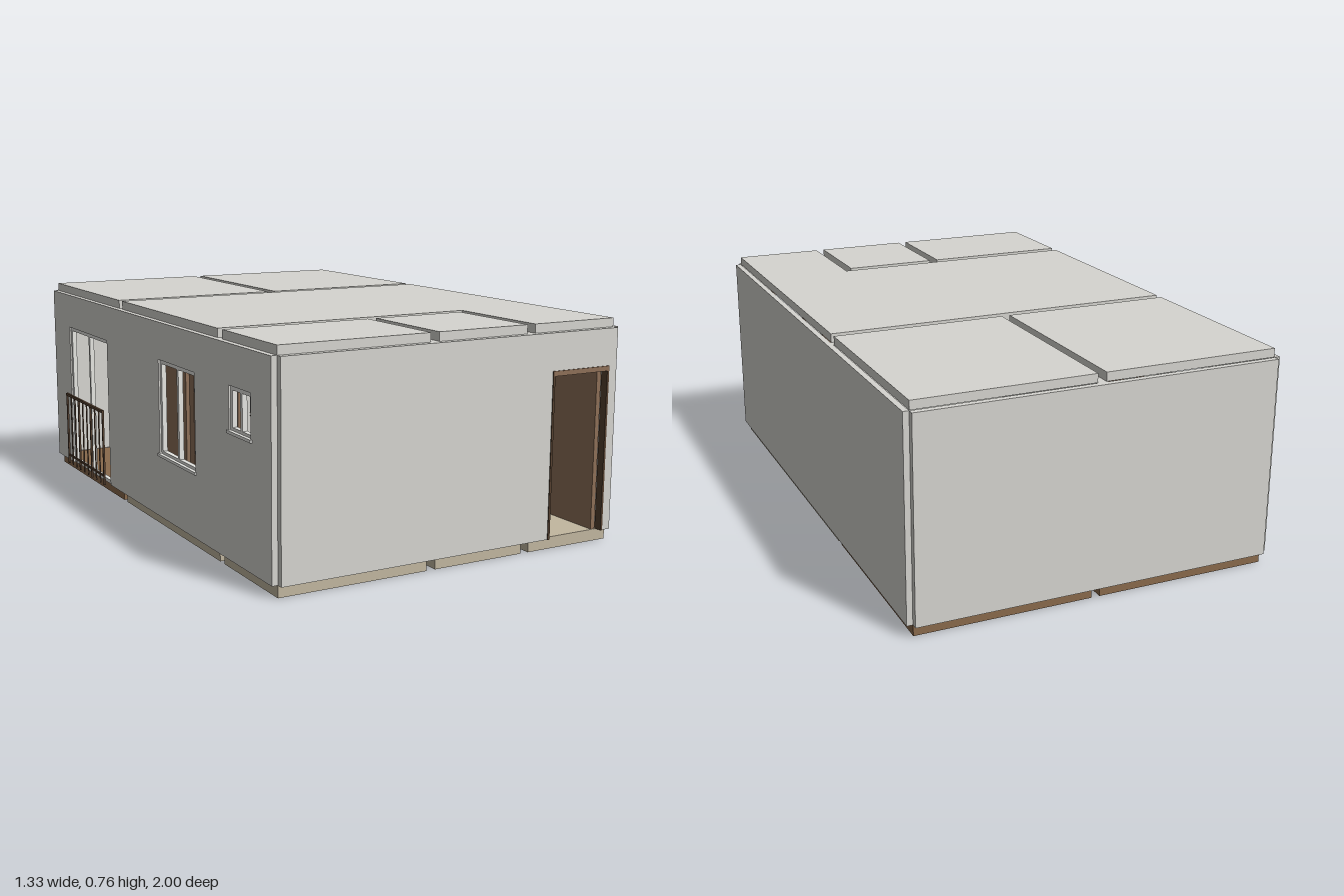
import * as THREE from 'three';

const mat = (name, color) => {
  const m = new THREE.MeshStandardMaterial({ color });
  m.name = name;
  return m;
};

export function createModel() {
  const house = new THREE.Group();
  house.name = 'apartment';
  const plaster = mat('plaster', 0xd6d5d0);
  const tile = mat('beige tile', 0xc2b7a0);
  const parquet = mat('parquet', 0x8a6a4c);
  const wood = mat('cabinet wood', 0x8e7058);
  const dark = mat('dark brown', 0x55402f);
  const white = mat('white frame', 0xe6e6e2);

  const Y0 = 0.04, Y1 = 0.73, TOP = 0.6;

  // Box given by its lower and upper corners
  const box = (name, m, x0, x1, y0, y1, z0, z1, parent = house) => {
    const b = new THREE.Mesh(new THREE.BoxGeometry(x1 - x0, y1 - y0, z1 - z0), m);
    b.position.set((x0 + x1) / 2, (y0 + y1) / 2, (z0 + z1) / 2);
    b.name = name;
    parent.add(b);
    return b;
  };

  // Wall panel with openings [from, to, bottom, top]; those on the floor become notches
  const wall = (name, along, a, b, c0, c1, openings = []) => {
    const s = new THREE.Shape();
    s.moveTo(a, Y0);
    openings.filter(o => o[2] <= Y0).forEach(([p, q, , t]) => {
      s.lineTo(p, Y0); s.lineTo(p, t); s.lineTo(q, t); s.lineTo(q, Y0);
    });
    s.lineTo(b, Y0); s.lineTo(b, Y1); s.lineTo(a, Y1);
    s.closePath();
    openings.filter(o => o[2] > Y0).forEach(([p, q, l, t]) => {
      const h = new THREE.Path();
      h.moveTo(p, l); h.lineTo(p, t); h.lineTo(q, t); h.lineTo(q, l); h.closePath();
      s.holes.push(h);
    });
    const g = new THREE.ExtrudeGeometry(s, { depth: c1 - c0, bevelEnabled: false });
    const w = new THREE.Mesh(g, plaster);
    if (along === 'z') { w.rotation.y = -Math.PI / 2; w.position.x = c1; }
    else w.position.z = c0;
    w.name = name;
    house.add(w);
  };

  // Box placed relative to a wall: p runs along it, c across it
  const onWall = (along, name, m, p0, p1, y0, y1, c0, c1, parent) => along === 'x'
    ? box(name, m, p0, p1, y0, y1, c0, c1, parent)
    : box(name, m, c0, c1, y0, y1, p0, p1, parent);

  // Door casing: two jambs and a head
  const casing = (name, along, p, q, t, c0, c1, m = dark, w = 0.012) => {
    const g = new THREE.Group();
    g.name = name;
    onWall(along, 'jamb', m, p, p + w, Y0, t, c0, c1, g);
    onWall(along, 'jamb', m, q - w, q, Y0, t, c0, c1, g);
    onWall(along, 'head', m, p, q, t - w, t + 0.003, c0, c1, g);
    house.add(g);
  };

  // Window frame in the right wall, with mullion and optional sill
  const windowFrame = (name, p, q, l, t, sill) => {
    const g = new THREE.Group(), w = 0.014, c0 = -0.634, c1 = -0.617;
    g.name = name;
    [p, (p + q - w) / 2, q - w].forEach(z => box('upright', white, c0, c1, l, t, z, z + w, g));
    [l, t - w].forEach(y => box('crossbar', white, c0, c1, y, y + w, p, q, g));
    if (sill) box('sill', white, -0.646, -0.62, l - 0.006, l + 0.004, p - 0.008, q + 0.008, g);
    house.add(g);
  };

  // Floors and ceilings, one slab per room
  const rooms = [
    ['rightBedroom', parquet, [[-0.62, -0.975], [-0.005, -0.975], [-0.005, -0.275], [-0.62, -0.275]]],
    ['leftBedroom', parquet, [[0.025, -0.975], [0.638, -0.975], [0.638, -0.275], [0.025, -0.275]]],
    ['livingRoom', tile, [[-0.62, -0.245], [0.638, -0.245], [0.638, 0.978], [0.312, 0.978], [0.312, 0.577], [-0.62, 0.577]]],
    ['smallRoom', tile, [[-0.62, 0.61], [-0.09, 0.61], [-0.09, 0.978], [-0.62, 0.978]]],
    ['bathroom', tile, [[-0.058, 0.61], [0.281, 0.61], [0.281, 0.978], [-0.058, 0.978]]],
  ];
  rooms.forEach(([name, floorMat, pts]) => {
    const s = new THREE.Shape(pts.map(([x, z]) => new THREE.Vector2(x, -z)));
    [['Floor', floorMat, 0, 0.04], ['Ceiling', plaster, 0.73, 0.03]].forEach(([part, m, y, depth]) => {
      const slab = new THREE.Mesh(new THREE.ExtrudeGeometry(s, { depth, bevelEnabled: false }), m);
      slab.rotation.x = -Math.PI / 2;
      slab.position.y = y;
      slab.name = name + part;
      house.add(slab);
    });
  });

  // Outer walls
  wall('frontWall', 'x', -0.62, 0.64, 0.978, 1, [[0.375, 0.605, Y0, 0.605]]);
  wall('backWall', 'x', -0.62, 0.64, -1, -0.978);
  wall('leftWall', 'z', -0.978, 0.978, 0.64, 0.66);
  wall('rightWall', 'z', -0.978, 0.978, -0.64, -0.62, [
    [-0.79, -0.365, Y0, TOP], [0.137, 0.437, 0.265, TOP], [0.695, 0.845, 0.455, TOP]]);

  // Inner walls
  wall('bedroomWall', 'x', -0.62, 0.64, -0.275, -0.245, [[-0.56, -0.33, Y0, TOP]]);
  wall('bedroomDivider', 'z', -0.978, -0.275, -0.005, 0.025);
  wall('livingWall', 'x', -0.62, 0.312, 0.577, 0.61, [[-0.57, -0.34, Y0, TOP]]);
  wall('bathroomDivider', 'z', 0.61, 0.978, -0.09, -0.058);
  wall('hallWall', 'z', 0.61, 0.978, 0.281, 0.312, [[0.72, 0.93, Y0, TOP]]);

  // Doors
  casing('frontDoorFrame', 'x', 0.373, 0.607, 0.602, 0.974, 1.003, dark, 0.008);
  box('frontDoorHead', wood, 0.373, 0.605, 0.588, 0.604, 0.975, 1.004);
  box('frontDoorLeaf', wood, 0.58, 0.597, Y0, 0.588, 0.76, 0.975);
  casing('bedroomDoorFrame', 'x', -0.56, -0.33, TOP, -0.28, -0.24, wood);
  box('bedroomDoorLeaf', wood, -0.357, -0.342, Y0, 0.588, -0.48, -0.28);
  casing('smallRoomDoorFrame', 'x', -0.57, -0.34, TOP, 0.572, 0.615, wood);
  box('smallRoomDoorLeaf', wood, -0.367, -0.352, Y0, 0.588, 0.615, 0.81);
  casing('bathroomDoorFrame', 'z', 0.72, 0.93, TOP, 0.276, 0.317, wood);
  box('bathroomDoorLeaf', wood, 0.1, 0.276, Y0, 0.588, 0.732, 0.747);

  // Windows
  windowFrame('balconyDoor', -0.79, -0.365, Y0, TOP, false);
  windowFrame('livingWindow', 0.137, 0.437, 0.265, TOP, true);
  windowFrame('smallWindow', 0.695, 0.845, 0.455, TOP, true);

  // Balcony railing
  const railing = new THREE.Group();
  railing.name = 'railing';
  house.add(railing);
  box('topRail', dark, -0.665, -0.655, 0.322, 0.332, -0.79, -0.375, railing);
  box('bottomRail', dark, -0.663, -0.657, 0.072, 0.079, -0.79, -0.375, railing);
  for (let i = 0; i < 10; i++) {
    const z = -0.787 + i * 0.0455;
    const r = i % 3 ? 0.0022 : 0.0035;
    box('bar', dark, -0.66 - r, -0.66 + r, Y0, 0.325, z - r, z + r, railing);
  }

  // Kitchen along the bedroom wall
  const kitchen = new THREE.Group();
  kitchen.name = 'kitchen';
  house.add(kitchen);
  box('backsplash', tile, -0.1, 0.432, 0.29, 0.472, -0.245, -0.24, kitchen);
  box('counter', dark, -0.1, 0.44, 0.272, 0.283, -0.245, -0.1, kitchen);
  for (let i = 0; i < 4; i++) {
    const x = -0.1 + i * 0.133, e = x + 0.132;
    box('lowerCabinet', wood, x, e, Y0, 0.272, -0.245, -0.112, kitchen);
    box('drawerFront', wood, x + 0.003, e - 0.003, 0.224, 0.268, -0.112, -0.106, kitchen);
    box('cabinetFront', wood, x + 0.003, e - 0.003, 0.055, 0.219, -0.112, -0.106, kitchen);
    box('upperCabinet', wood, x, e, 0.477, 0.6, -0.245, -0.16, kitchen);
  }

  // Washbasin cabinet in the bathroom and bed in the right bedroom
  box('washbasin', white, -0.058, 0.07, Y0, 0.29, 0.84, 0.978);
  box('bedBase', wood, -0.3, -0.005, Y0, 0.1, -0.95, -0.6);
  box('mattress', white, -0.295, -0.01, 0.1, 0.15, -0.945, -0.605);

  return house;
}
